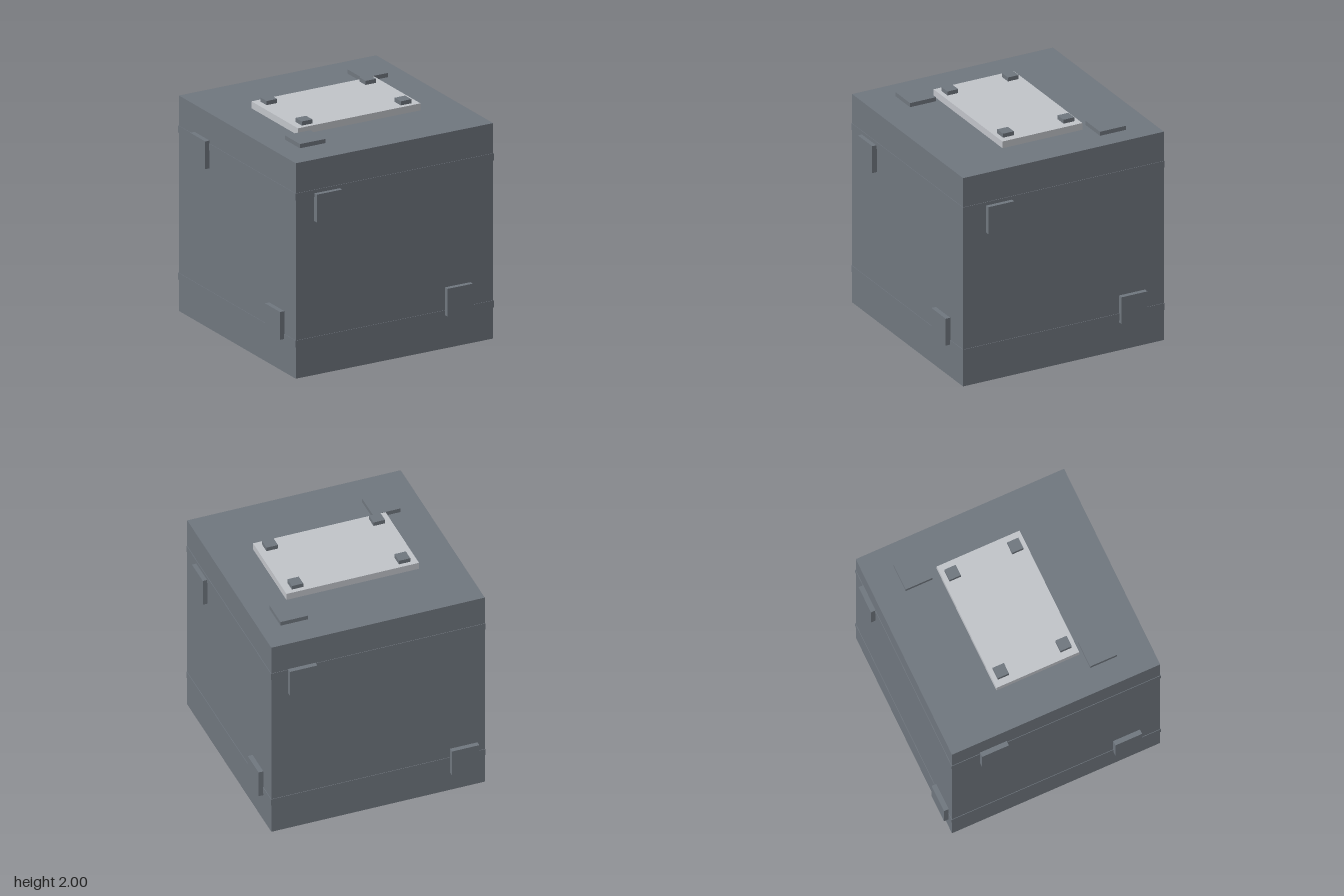
import * as THREE from 'three';

export function createModel() {
  const model = new THREE.Group();
  const slate = new THREE.MeshStandardMaterial({ color: 0x70777f });
  slate.name = 'slateGrey';
  const pale = new THREE.MeshStandardMaterial({ color: 0xc2c5ca });
  pale.name = 'paleGrey';

  const box = (name, size, pos, material = slate) => {
    const mesh = new THREE.Mesh(new THREE.BoxGeometry(...size), material);
    mesh.name = name;
    mesh.position.set(...pos);
    model.add(mesh);
  };

  const H = 0.93, MID = 0.975; // half side and centre height of the block
  box('block', [2 * H, 2 * H, 2 * H], [0, MID, 0]);

  // thin bands wrapped round the four sides
  for (const y of [0.345, 1.615]) box('band', [2 * H + 0.008, 0.06, 2 * H + 0.008], [0, y, 0]);

  // pale plate on top with four small studs
  box('topPlate', [1.155, 0.06, 0.74], [0, 1.935, 0], pale);
  for (const x of [-0.468, 0.465])
    for (const z of [-0.28, 0.28]) box('plateStud', [0.1, 0.04, 0.1], [x, 1.98, z]);

  // raised square tabs, two on each face
  const S = 0.24, T = 0.042, out = H + T / 2;
  for (const [x, y] of [[-0.637, 1.495], [0.595, 0.452]]) box('frontTab', [S, S, T], [x, y, out]);
  for (const [x, y] of [[0.665, 1.53], [-0.747, 0.34]]) box('backTab', [S, S, T], [x, y, -out]);
  for (const [z, y] of [[0.6, 1.495], [-0.635, 0.415]]) box('leftTab', [T, S, S], [out, y, z]);
  for (const [z, y] of [[-0.56, 1.55], [0.63, 0.452]]) box('rightTab', [T, S, S], [-out, y, z]);
  for (const [x, z] of [[-0.6, 0.522], [0.63, -0.558]]) box('topTab', [S, 0.036, S], [x, MID + H + 0.018, z]);
  for (const [x, z] of [[0.595, 0.58], [-0.637, -0.52]]) box('bottomTab', [S, 0.045, S], [x, 0.0225, z]);

  return model;
}
